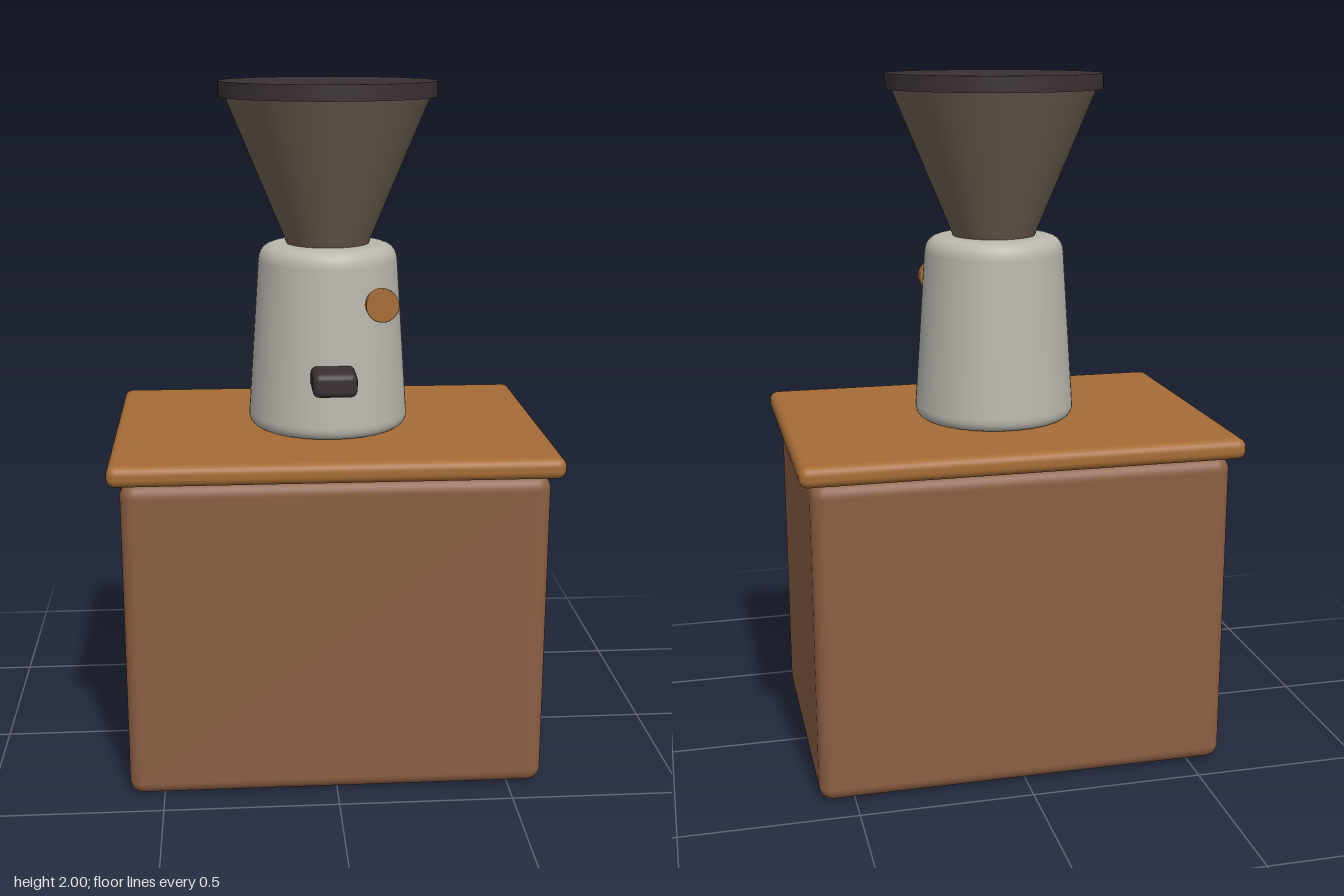
import * as THREE from 'three';
import { RoundedBoxGeometry } from 'three/addons/geometries/RoundedBoxGeometry.js';

function material(name, color) {
  const m = new THREE.MeshStandardMaterial({ color });
  m.name = name;
  return m;
}

// Solid of revolution with rounded corners: points are [radius, y, cornerRadius]
function turned(points, segments = 64) {
  const v = points.map(([r, y]) => new THREE.Vector2(r, y));
  const profile = [v[0]];
  for (let i = 1; i < v.length - 1; i++) {
    const c = points[i][2] || 0;
    if (!c) { profile.push(v[i], v[i].clone()); continue; }
    const a = v[i].clone().add(v[i - 1].clone().sub(v[i]).setLength(c));
    const b = v[i].clone().add(v[i + 1].clone().sub(v[i]).setLength(c));
    profile.push(...new THREE.QuadraticBezierCurve(a, v[i], b).getPoints(6));
  }
  profile.push(v[v.length - 1]);
  return new THREE.LatheGeometry(profile, segments);
}

export function createModel() {
  const group = new THREE.Group();
  const brown = material('cabinet brown', 0x8b5e43);
  const wood = material('warm wood', 0xa66c36);
  const metal = material('pale metal', 0xb9b6ad);
  const smoke = material('smoky hopper', 0x6d5f52);
  const dark = material('dark plastic', 0x3a3032);

  const add = (name, geometry, mat, x, y, z) => {
    const mesh = new THREE.Mesh(geometry, mat);
    mesh.name = name;
    mesh.position.set(x, y, z);
    group.add(mesh);
    return mesh;
  };

  // Cabinet and counter
  add('cabinet', new RoundedBoxGeometry(1.2, 0.93, 0.84, 5, 0.04), brown, 0, 0.47, 0).position.y = 0.47;
  group.children[0].scale.y = 0.94 / 0.93;
  add('counterTop', new RoundedBoxGeometry(1.264, 0.06, 0.9, 5, 0.025), wood, 0, 0.97, 0);

  // Tapered grinder housing with soft edges
  add('grinderBody', turned([[0, 1], [0.237, 1, 0.04], [0.2, 1.54, 0.05], [0, 1.54]]), metal, 0, 0, 0);

  // Hopper cone and lid
  add('hopper', new THREE.CylinderGeometry(0.297, 0.118, 0.43, 64), smoke, 0, 1.75, 0);
  add('hopperLid', new THREE.CylinderGeometry(0.312, 0.312, 0.044, 64), dark, 0, 1.978, 0);

  // Front spout
  add('spout', new RoundedBoxGeometry(0.126, 0.07, 0.14, 2, 0.02), dark, 0, 1.185, 0.255);

  // Round dial facing forward
  const dial = add('dial', turned([[0, -0.018], [0.047, -0.018, 0.004], [0.047, 0.018, 0.004], [0, 0.018]], 32),
    wood, 0.14, 1.39, 0.205);
  dial.rotation.x = Math.PI / 2;

  return group;
}
